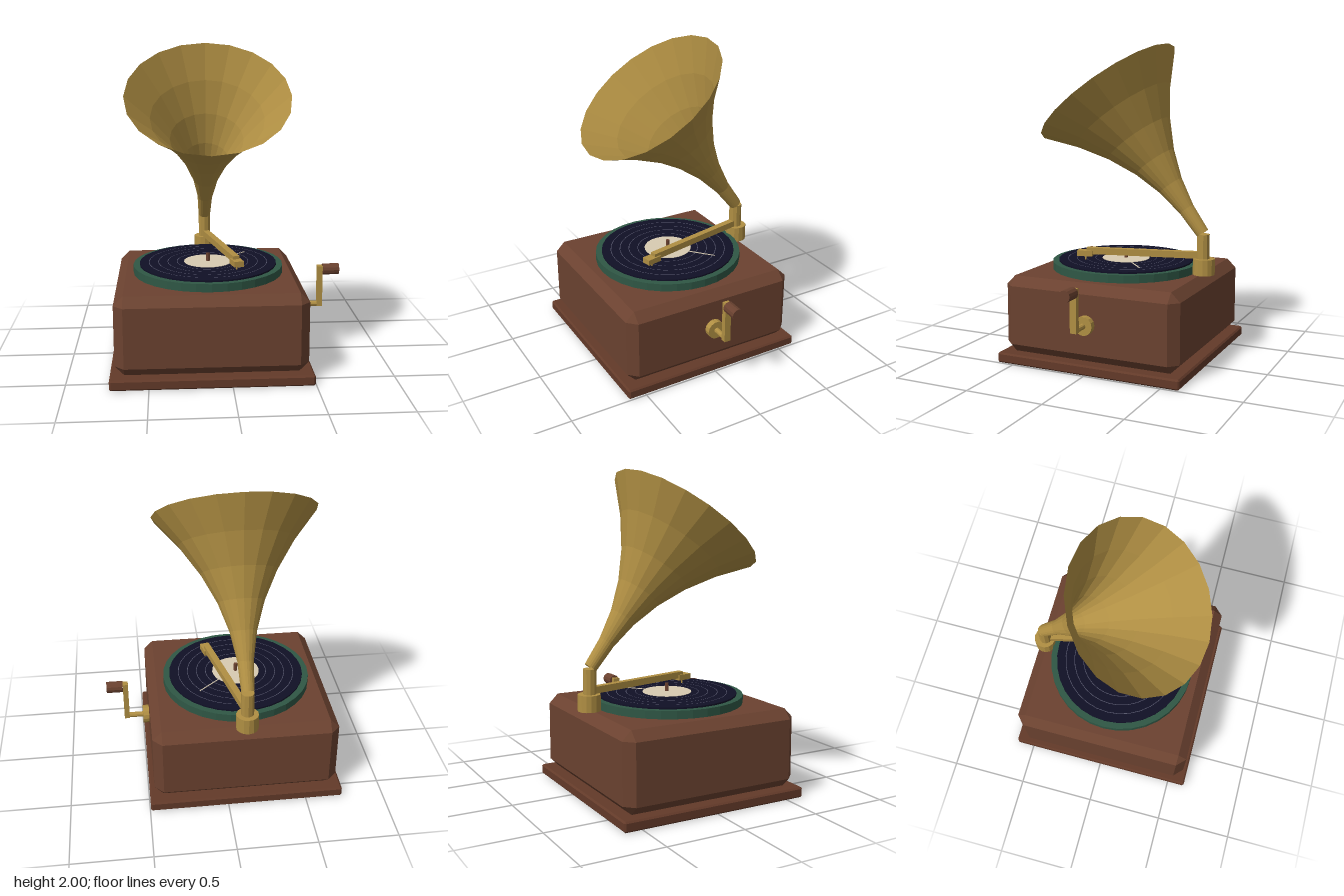
import * as THREE from 'three';
import { ConvexGeometry } from 'three/addons/geometries/ConvexGeometry.js';

const material = (name, color) =>
  new THREE.MeshStandardMaterial({ name, color, flatShading: true, side: THREE.DoubleSide });

// Box with every edge cut at 45 degrees
function chamferBox(w, h, d, c) {
  const points = [];
  for (const x of [-1, 1]) for (const y of [-1, 1]) for (const z of [-1, 1]) {
    for (const [a, b, e] of [[0, c, c], [c, 0, c], [c, c, 0]]) {
      points.push(new THREE.Vector3(x * (w / 2 - a), y * (h / 2 - b), z * (d / 2 - e)));
    }
  }
  return new ConvexGeometry(points);
}

export function createModel() {
  const wood = material('cabinet wood', 0x6b4230);
  const plinthWood = material('plinth wood', 0x633a29);
  const brass = material('brass', 0xb08f43);
  const felt = material('green felt', 0x2f5745);
  const vinyl = material('dark vinyl', 0x101026);
  const cream = material('cream label', 0xd8cbb2);
  const groove = material('groove grey', 0x55566a);

  const model = new THREE.Group();
  // Everything but the crank is centred on the cabinet axis
  const body = new THREE.Group();
  body.name = 'body';
  body.position.x = -0.12;
  model.add(body);

  function add(parent, name, geometry, mat, x, y, z) {
    const mesh = new THREE.Mesh(geometry, mat);
    mesh.name = name;
    mesh.position.set(x, y, z);
    parent.add(mesh);
    return mesh;
  }
  // Upright cylinder given by its bottom and top heights
  const post = (parent, name, r, y0, y1, sides, mat, x = 0, z = 0) =>
    add(parent, name, new THREE.CylinderGeometry(r, r, y1 - y0, sides), mat, x, (y0 + y1) / 2, z);
  // Cylinder lying along x
  const rod = (parent, name, r, x0, x1, sides, mat, y) =>
    add(parent, name, new THREE.CylinderGeometry(r, r, x1 - x0, sides).rotateZ(Math.PI / 2), mat, (x0 + x1) / 2, y, 0);

  // Cabinet
  add(body, 'plinth', chamferBox(1.23, 0.065, 1.23, 0.01), plinthWood, 0, 0.0325, 0);
  add(body, 'cabinet', chamferBox(1.17, 0.49, 1.17, 0.058), wood, 0, 0.31, 0);

  // Turntable and record
  post(body, 'platter', 0.48, 0.55, 0.605, 32, felt);
  post(body, 'record', 0.44, 0.605, 0.615, 32, vinyl);
  post(body, 'label', 0.155, 0.61, 0.618, 24, cream);
  post(body, 'spindle', 0.012, 0.61, 0.67, 8, wood);
  for (const r of [0.2, 0.26, 0.32, 0.38]) {
    add(body, 'groove', new THREE.RingGeometry(r - 0.002, r + 0.002, 32).rotateX(-Math.PI / 2), groove, 0, 0.617, 0);
  }
  // Light streak running out from the label
  const streak = add(body, 'streak', new THREE.BoxGeometry(0.18, 0.004, 0.006), cream, 0.19, 0.617, -0.15);
  streak.rotation.y = Math.atan2(0.12, 0.14);

  // Pivot behind the record
  post(body, 'pivotBase', 0.07, 0.555, 0.657, 14, brass, 0, -0.54);
  post(body, 'pivotPost', 0.041, 0.655, 0.812, 10, brass, 0, -0.535);

  // Tone arm, swung over the record
  const arm = new THREE.Group();
  arm.name = 'toneArm';
  arm.position.set(0, 0, -0.54);
  arm.rotation.y = Math.atan2(0.17, 0.75);
  body.add(arm);
  add(arm, 'armBar', new THREE.BoxGeometry(0.042, 0.042, 0.76), brass, 0, 0.678, 0.38);
  add(arm, 'soundHead', new THREE.BoxGeometry(0.062, 0.036, 0.1), brass, 0, 0.661, 0.77);
  post(arm, 'needle', 0.006, 0.615, 0.65, 6, brass, 0, 0.77);

  // Flared horn, tilted forward
  const profile = [];
  for (let i = 0; i <= 6; i++) {
    const s = i / 6;
    profile.push(new THREE.Vector2(0.041 + 0.474 * s ** 2.18, 1.09 * s));
  }
  const horn = add(body, 'horn', new THREE.LatheGeometry(profile, 20), brass, 0, 0.818, -0.529);
  horn.rotation.x = Math.atan2(0.6, 0.8);

  // Crank on the left side
  const crank = new THREE.Group();
  crank.name = 'crank';
  model.add(crank);
  rod(crank, 'crankPlate', 0.059, 0.46, 0.505, 14, brass, 0.312);
  rod(crank, 'crankShaft', 0.018, 0.5, 0.61, 10, brass, 0.312);
  add(crank, 'crankArm', new THREE.BoxGeometry(0.034, 0.27, 0.042), brass, 0.612, 0.435, 0);
  rod(crank, 'crankHandle', 0.037, 0.63, 0.735, 12, wood, 0.547);

  return model;
}
